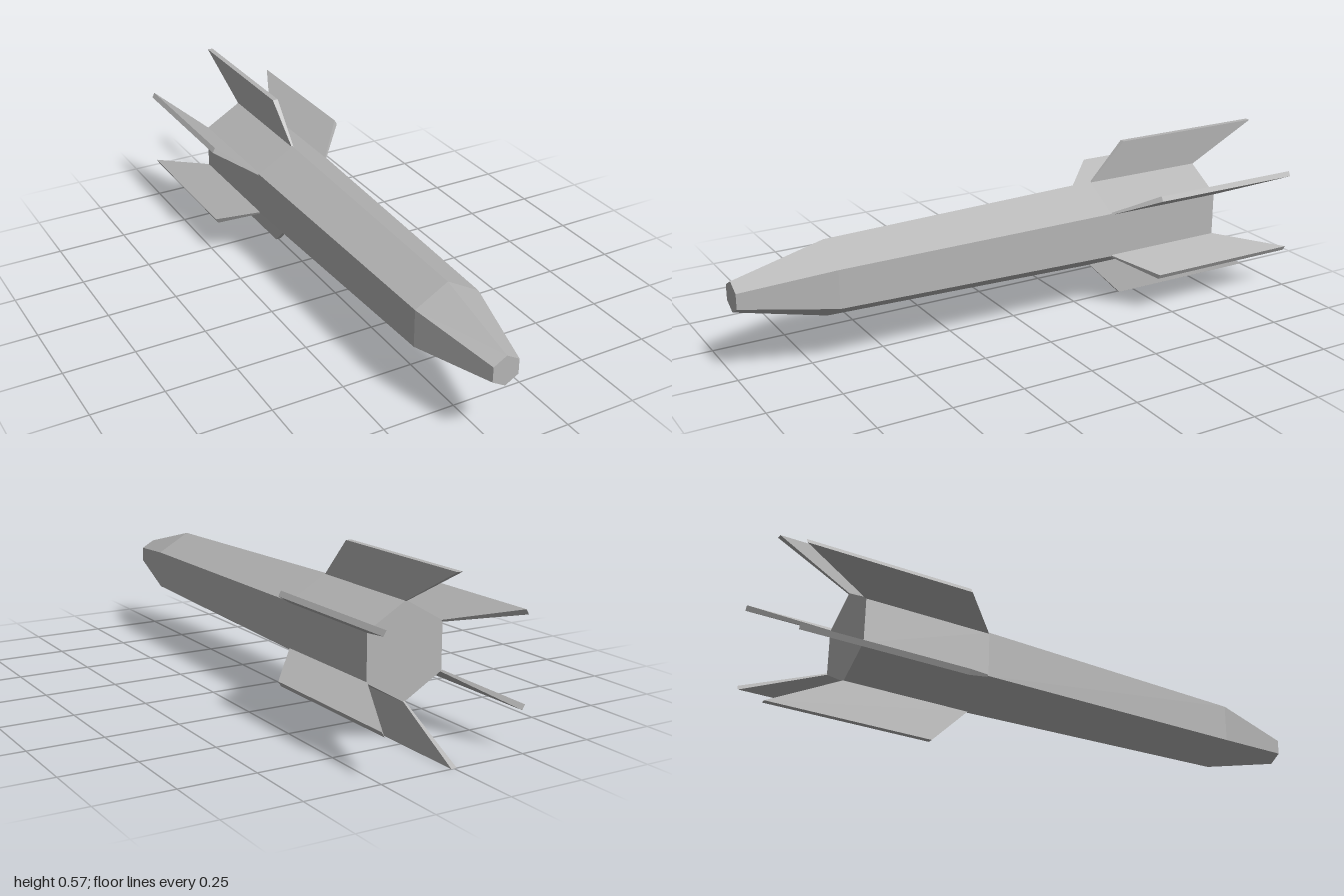
import * as THREE from 'three';

const AXIS_Y = 0.285; // height of the body's long axis

// Hexagonal body with a tapered, blunt nose and closed tail
function makeBody(material) {
  const profile = [[0, -0.75], [0.156, -0.75], [0.156, -0.31], [0.131, 0.69], [0.052, 1], [0, 1]]
    .map(([r, z]) => new THREE.Vector2(r, z));
  const geometry = new THREE.LatheGeometry(profile, 6).rotateX(Math.PI / 2);
  const body = new THREE.Mesh(geometry, material);
  body.name = 'body';
  return body;
}

// Swept fin: a box whose corners move so it widens and leans back towards the tip
function makeFinGeometry() {
  const geometry = new THREE.BoxGeometry(1, 1, 1);
  const p = geometry.attributes.position;
  for (let i = 0; i < p.count; i++) {
    const tip = p.getY(i) > 0;
    const front = p.getZ(i) > 0;
    const halfWidth = tip ? 0.0095 : 0.0035;
    const z = tip ? (front ? -0.44 : -1) : (front ? -0.31 : -0.75);
    p.setXYZ(i, Math.sign(p.getX(i)) * halfWidth, tip ? 0.285 : 0.153, z);
  }
  geometry.computeVertexNormals();
  return geometry;
}

export function createModel() {
  const metal = new THREE.MeshStandardMaterial({ color: 0xb4b4b4, flatShading: true });
  metal.name = 'grey metal';

  const model = new THREE.Group();
  model.name = 'rocket';
  const hull = new THREE.Group();
  hull.name = 'hull';
  hull.position.y = AXIS_Y;
  model.add(hull);
  hull.add(makeBody(metal));

  // One fin on each long edge of the body
  const finGeometry = makeFinGeometry();
  for (let i = 0; i < 6; i++) {
    const fin = new THREE.Mesh(finGeometry, metal);
    fin.name = `fin${i + 1}`;
    fin.rotation.z = (i * Math.PI) / 3;
    hull.add(fin);
  }
  return model;
}
